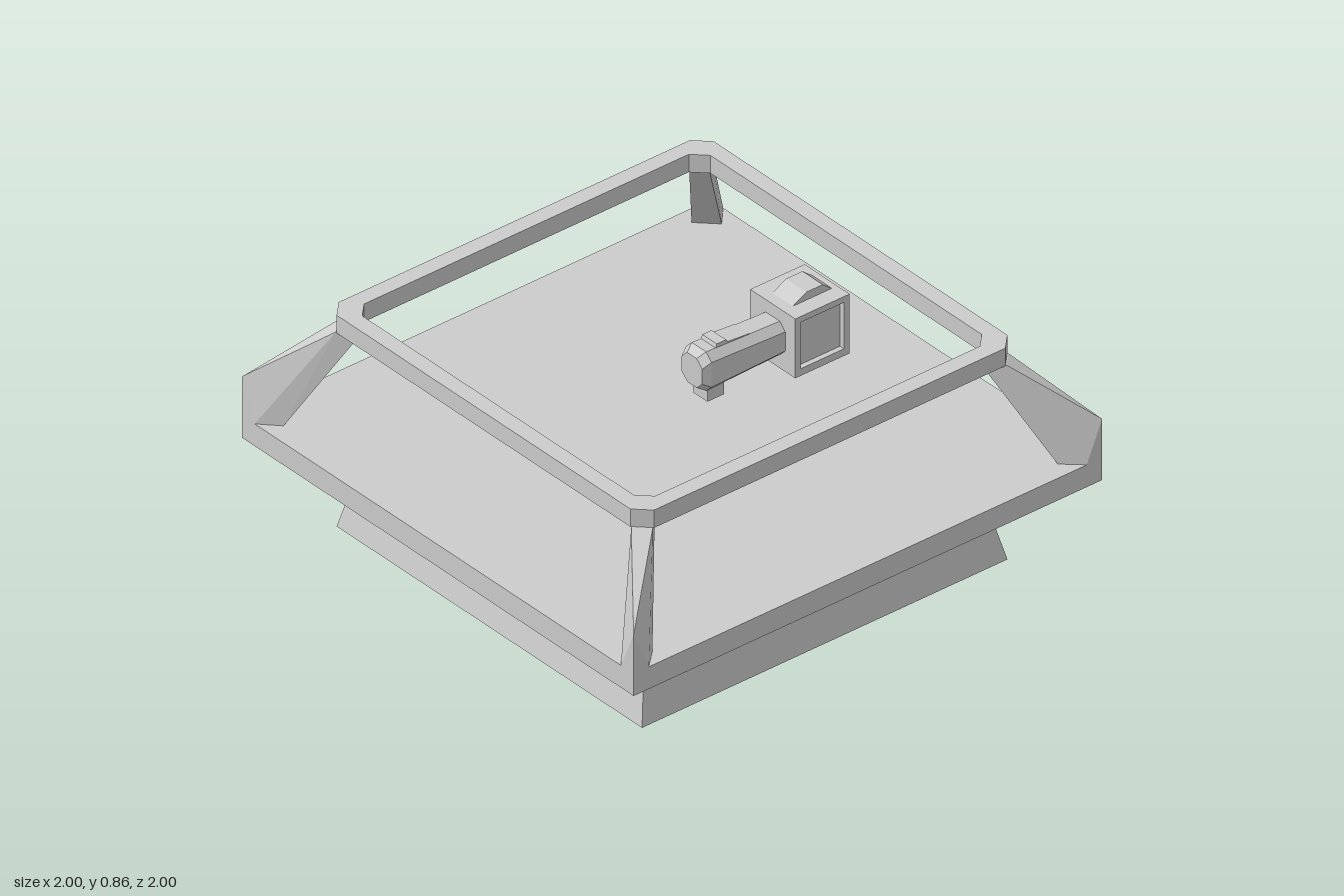
import * as THREE from 'three';
import { ConvexGeometry } from 'three/addons/geometries/ConvexGeometry.js';

const material = new THREE.MeshStandardMaterial({ color: 0xcccccc, flatShading: true });

function add(parent, name, geometry, x = 0, y = 0, z = 0) {
  const mesh = new THREE.Mesh(geometry, material);
  mesh.name = name;
  mesh.position.set(x, y, z);
  parent.add(mesh);
  return mesh;
}

// Convex solid through a few corner points
const hull = (points) => new ConvexGeometry(points.map((p) => new THREE.Vector3(...p)));

// Square outline with cut corners
function cutSquare(h, c) {
  return [[h, c - h], [h, h - c], [h - c, h], [c - h, h], [-h, h - c], [-h, c - h], [c - h, -h], [h - c, -h]]
    .map(([x, y]) => new THREE.Vector2(x, y));
}

// Profile in x and y, extruded evenly to both sides of z = 0
function extrudeZ(shape, depth) {
  return new THREE.ExtrudeGeometry(shape, { depth, bevelEnabled: false }).translate(0, 0, -depth / 2);
}

const profile = (pts) => new THREE.Shape(pts.map(([x, y]) => new THREE.Vector2(x, y)));

export function createModel() {
  const model = new THREE.Group();
  model.name = 'railedPlatform';

  // Tapered foot under the deck
  const foot = new THREE.CylinderGeometry(0.705 * Math.SQRT2, 0.78 * Math.SQRT2, 0.33, 4).rotateY(Math.PI / 4);
  add(model, 'taperedBase', foot, 0, 0.165, 0);
  add(model, 'deck', new THREE.BoxGeometry(2, 0.087, 2), 0, 0.3735, 0);

  // Top rail: a square ring with cut corners
  const ring = new THREE.Shape(cutSquare(0.805, 0.055));
  ring.holes.push(new THREE.Path(cutSquare(0.743, 0.05).reverse()));
  const rail = new THREE.ExtrudeGeometry(ring, { depth: 0.07, bevelEnabled: false }).rotateX(-Math.PI / 2);
  add(model, 'topRail', rail, 0, 0.785, 0);

  // Leaning corner posts, symmetric about the diagonal
  const half = [[0.935, 0.417, 1], [0.865, 0.417, 0.935], [0.755, 0.786, 0.805], [0.695, 0.786, 0.743]];
  const post = hull([
    [1, 0.417, 1], [1, 0.57, 1],
    ...half, ...half.map(([x, y, z]) => [z, y, x]),
  ]);
  for (let i = 0; i < 4; i++) add(model, 'cornerPost', post).rotation.y = i * Math.PI / 2;

  // Floating unit: housing with a recessed panel on both sides
  const unit = new THREE.Group();
  unit.name = 'floatingUnit';
  model.add(unit);
  const frame = profile([[0.43, 0.522], [0.662, 0.522], [0.662, 0.755], [0.43, 0.755]]);
  frame.holes.push(new THREE.Path(
    [[0.453, 0.55], [0.453, 0.732], [0.638, 0.732], [0.638, 0.55]].map(([x, y]) => new THREE.Vector2(x, y))));
  add(unit, 'housingFrame', extrudeZ(frame, 0.23));
  add(unit, 'recessedPanel', new THREE.BoxGeometry(0.185, 0.182, 0.19), 0.5455, 0.641, 0);
  add(unit, 'housingCap', extrudeZ(profile([[0.47, 0.754], [0.64, 0.754], [0.6, 0.786], [0.53, 0.786]]), 0.104));

  // Barrel: eight-sided sections along x as [x, bottom, top, half width]
  const sections = [[0.085, 0.585, 0.7, 0.052], [0.115, 0.567, 0.72, 0.065], [0.435, 0.575, 0.706, 0.064]];
  const barrel = sections.flatMap(([x, b, t, w]) => {
    const c = 0.028;
    return [-1, 1].flatMap((s) => [
      [x, b, s * (w - c)], [x, b + c, s * w], [x, t - c, s * w], [x, t, s * (w - c)],
    ]);
  });
  add(unit, 'barrel', hull(barrel));
  add(unit, 'barrelFoot', new THREE.BoxGeometry(0.07, 0.06, 0.07), 0.157, 0.55, 0);
  add(unit, 'barrelRidge', extrudeZ(
    profile([[0.14, 0.705], [0.3, 0.705], [0.3, 0.714], [0.205, 0.722], [0.2, 0.732], [0.16, 0.732], [0.155, 0.718]]), 0.074));

  return model;
}
